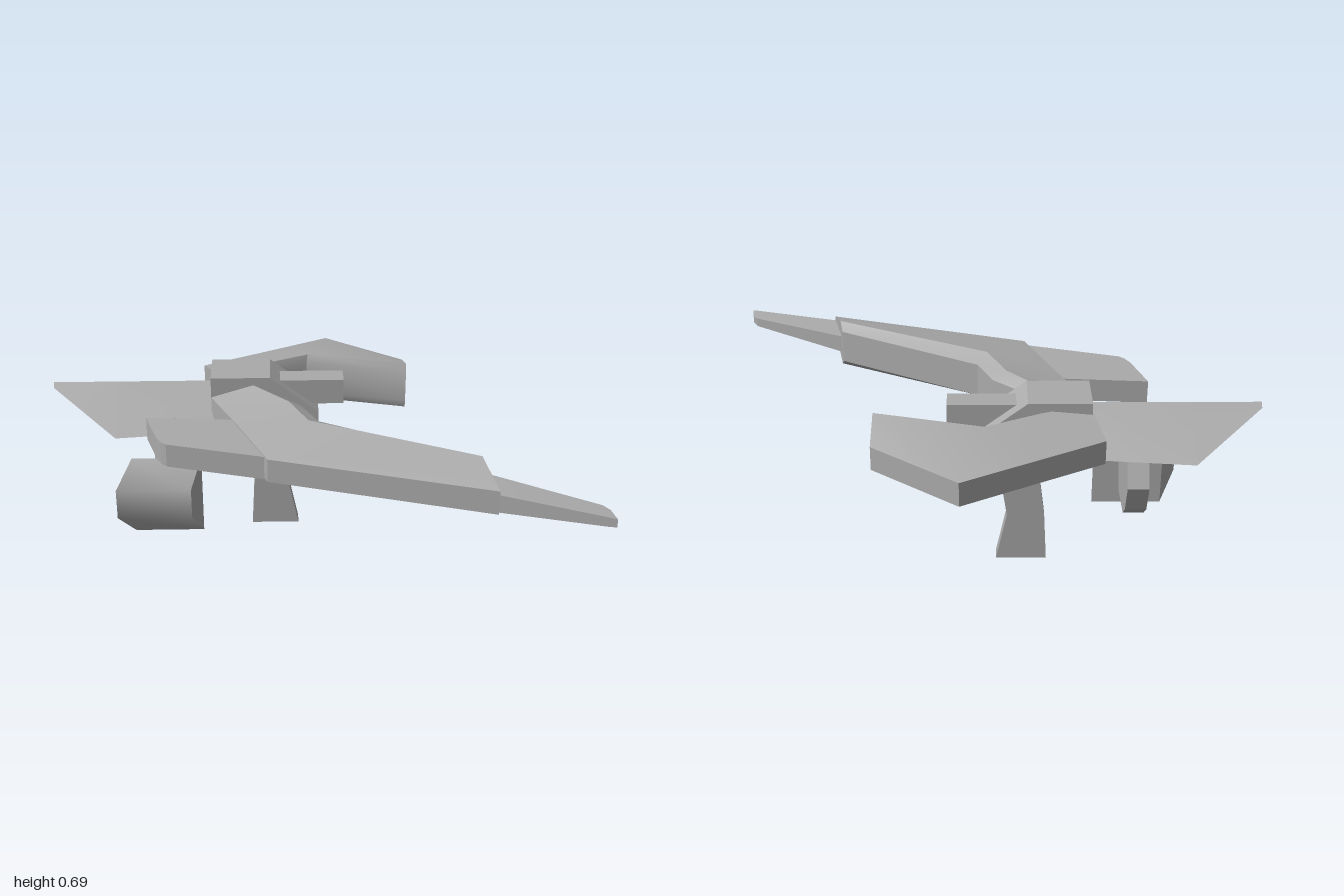
import * as THREE from 'three';
import { toCreasedNormals } from 'three/addons/utils/BufferGeometryUtils.js';

// Loft through equal-length rings of [x, y, z], closed by fan caps and wound outward
function loft(rings, crease = 0.6) {
  const tris = [], n = rings[0].length;
  for (let r = 0; r + 1 < rings.length; r++) {
    for (let i = 0; i < n; i++) {
      const j = (i + 1) % n, a = rings[r], b = rings[r + 1];
      tris.push([a[i], a[j], b[j]], [a[i], b[j], b[i]]);
    }
  }
  const first = rings[0], last = rings[rings.length - 1];
  for (let i = 1; i + 1 < n; i++) {
    tris.push([first[0], first[i + 1], first[i]], [last[0], last[i], last[i + 1]]);
  }
  let volume = 0;
  const v = (p) => new THREE.Vector3(...p);
  for (const [a, b, c] of tris) volume += v(a).dot(v(b).cross(v(c)));
  if (volume < 0) tris.forEach((t) => t.reverse());
  const g = new THREE.BufferGeometry();
  g.setAttribute('position', new THREE.Float32BufferAttribute(tris.flat(2), 3));
  return toCreasedNormals(g, crease);
}

// Prism between two values along one axis
function prism(points, from, to, place) {
  return loft([from, to].map((d) => points.map((p) => place(p, d))), 0.3);
}
const alongX = ([z, y], x) => [x, y, z];
const alongY = ([x, z], y) => [x, y, z];
const alongZ = ([x, y], z) => [x, y, z];

// Six-sided wing section: thin outer edge, thick crest near the inner edge
function wingRing([ox, oz], [ix, iz], t) {
  const cx = ox + (ix - ox) * t, cz = oz + (iz - oz) * t;
  return [
    [ox, 0.605, oz], [cx, 0.655, cz], [ix, 0.625, iz],
    [ix, 0.495, iz], [cx, 0.465, cz], [ox, 0.515, oz],
  ];
}

export function createModel() {
  const model = new THREE.Group();
  const grey = new THREE.MeshStandardMaterial({ color: 0xaaaaaa, side: THREE.DoubleSide });
  grey.name = 'plain grey';
  const add = (name, geometry) => {
    const mesh = new THREE.Mesh(geometry, grey);
    mesh.name = name;
    model.add(mesh);
  };

  // Long forward wing, bent near the body
  add('frontWing', loft([
    [[-0.38, -0.17], [-0.19, -0.19]],
    [[-0.27, 0.09], [-0.03, -0.04]],
    [[-0.16, 0.37], [0.03, 0.1]],
    [[0.63, 0.63], [0.58, 0.42]],
  ].map(([o, i]) => wingRing(o, i, 0.8))));

  // Hooked rear wing
  add('rearWing', loft([
    [[-0.42, -0.49], [-0.37, -0.3]],
    [[-0.19, -0.62], [-0.2, -0.36]],
    [[0.09, -0.78], [0, -0.46]],
    [[0.4, -0.53], [0.4, -0.36]],
  ].map(([o, i]) => wingRing(o, i, 0.95))));

  // Tapered tip of the forward wing
  const tipRing = (a, b, low, high) => [
    [a[0], low, a[1]], [a[0], high, a[1]], [b[0], high, b[1]], [b[0], low, b[1]],
  ];
  add('wingTip', loft([
    tipRing([0.58, 0.45], [0.6, 0.615], 0.52, 0.59),
    tipRing([0.97, 0.68], [0.98, 0.767], 0.54, 0.575),
    tipRing([0.99, 0.71], [1, 0.775], 0.543, 0.573),
  ], 0.3));

  // Roof-shaped side fin with a pointed end
  const finRing = (x, back, ridge, front, low, high) => [
    [x, low, back], [x, high, ridge], [x, low, front],
  ];
  add('sideFin', loft([
    finRing(-1, -0.275, -0.255, -0.235, 0.625, 0.64),
    finRing(-0.75, -0.45, -0.255, -0.06, 0.485, 0.64),
    finRing(-0.34, -0.405, -0.255, -0.11, 0.485, 0.64),
  ], 0.3));

  // Flat slab in front of the body
  add('frontSlab', prism(
    [[-0.62, 0], [-0.57, 0.17], [-0.55, 0.21], [-0.53, 0.23], [-0.17, 0.34], [-0.25, 0.03]],
    0.51, 0.6, alongY));

  // Central block with sloping nose and a square barrel
  add('centreBlock', prism(
    [[-0.38, 0.49], [-0.38, 0.685], [-0.15, 0.685], [0.04, 0.54], [0.04, 0.49]],
    -0.36, -0.17, alongZ));
  const barrel = new THREE.BoxGeometry(0.29, 0.1, 0.095);
  barrel.translate(-0.005, 0.605, -0.26);
  add('barrel', barrel);

  // Bent grip reaching the ground
  add('grip', loft([
    [-0.23, -0.04, 0], [-0.22, -0.08, 0.19], [-0.18, -0.03, 0.5],
  ].map(([l, r, y]) => [[l, y, -0.3], [r, y, -0.3], [r, y, -0.245], [l, y, -0.245]]), 0.1));

  // Eight-sided disc hanging under the fin
  add('disc', prism(
    [[-0.035, 0.26], [-0.09, 0.17], [-0.25, 0.17], [-0.31, 0.22],
      [-0.36, 0.335], [-0.29, 0.46], [-0.25, 0.53], [-0.1, 0.53], [-0.035, 0.41]],
    -0.6, -0.52, alongX));

  // Bowed shield in front of the disc
  const bow = [[0.41, -0.035], [0.31, 0.045], [0.19, 0.045], [0.09, -0.035]];
  const shieldRing = (inner, outer) => bow.map(([y, z]) => [z > 0 ? outer : inner, y, z]);
  add('shield', loft([shieldRing(-0.69, -0.75), shieldRing(-0.42, -0.46)], 0.75));

  return model;
}
